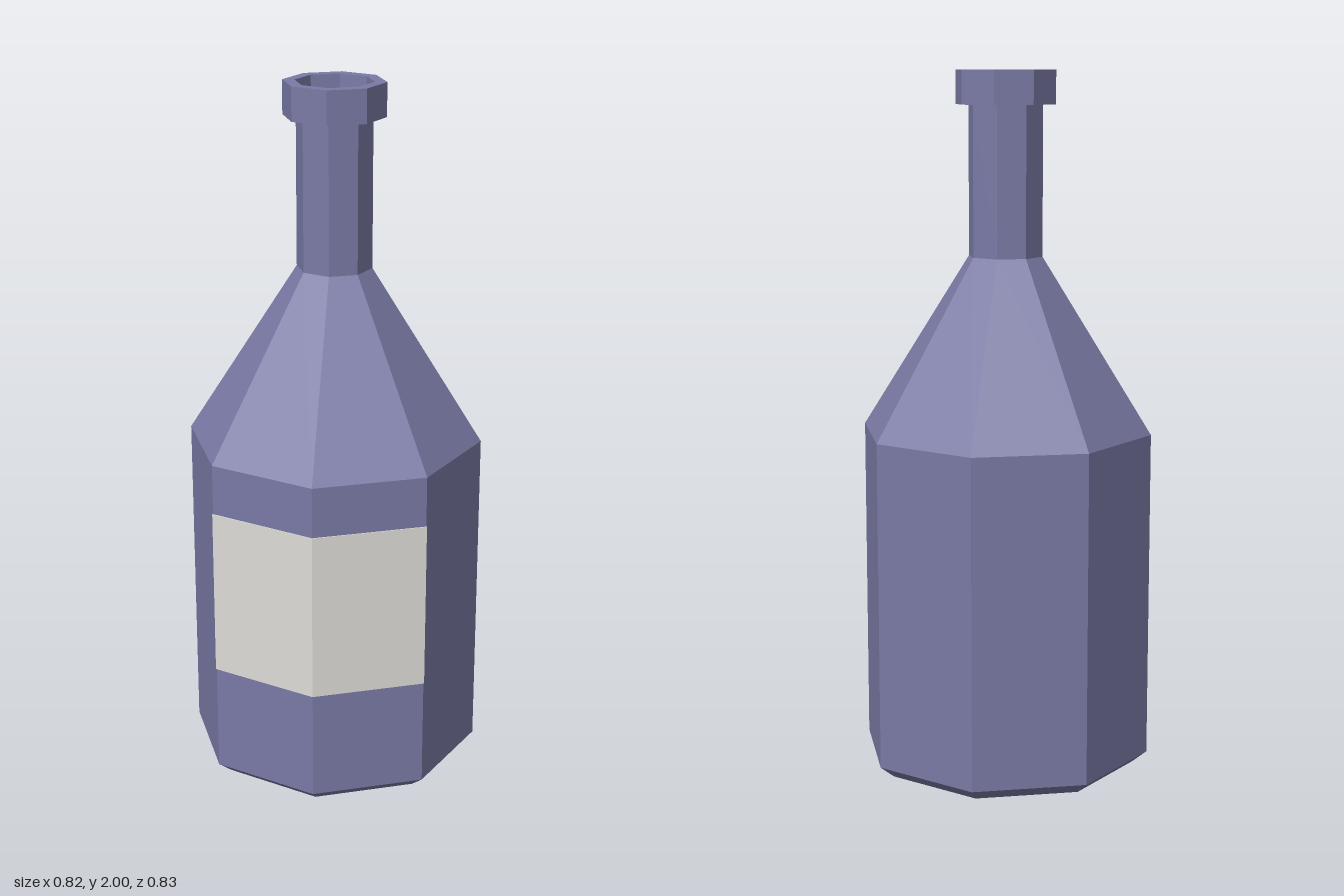
import * as THREE from 'three';

const SIDES = 8;
const STEP = (Math.PI * 2) / SIDES;
const TURN = THREE.MathUtils.degToRad(-13); // the octagon is slightly turned

// Faceted lathe from [radius, height] pairs
function facetedLathe(profile, segments, start) {
  const points = profile.map(([r, y]) => new THREE.Vector2(r, y));
  const geometry = new THREE.LatheGeometry(points, segments, start, segments * STEP).toNonIndexed();
  geometry.computeVertexNormals();
  return geometry;
}

export function createModel() {
  const glass = new THREE.MeshStandardMaterial({ color: 0x7a7aa6 });
  glass.name = 'blue glass';
  const paper = new THREE.MeshStandardMaterial({ color: 0xdedcd8 });
  paper.name = 'label paper';

  const group = new THREE.Group();
  group.name = 'bottle';
  const add = (name, geometry, material) => {
    const mesh = new THREE.Mesh(geometry, material);
    mesh.name = name;
    group.add(mesh);
  };

  // Base, belly, shoulder and neck
  add('body', facetedLathe([
    [0, 0], [0.38, 0], [0.423, 0.035], [0.423, 0.98], [0.107, 1.48], [0.107, 1.905],
  ], SIDES, TURN), glass);

  // Lip with the hollow mouth inside it
  add('lip', facetedLathe([
    [0.107, 1.905], [0.144, 1.905], [0.144, 2], [0.11, 2], [0.09, 1.48], [0, 1.48],
  ], SIDES, TURN), glass);

  // Label wrapped over the two front facets
  add('label', facetedLathe([
    [0.422, 0.35], [0.426, 0.35], [0.426, 0.835], [0.422, 0.835],
  ], 2, TURN - STEP), paper);

  return group;
}
